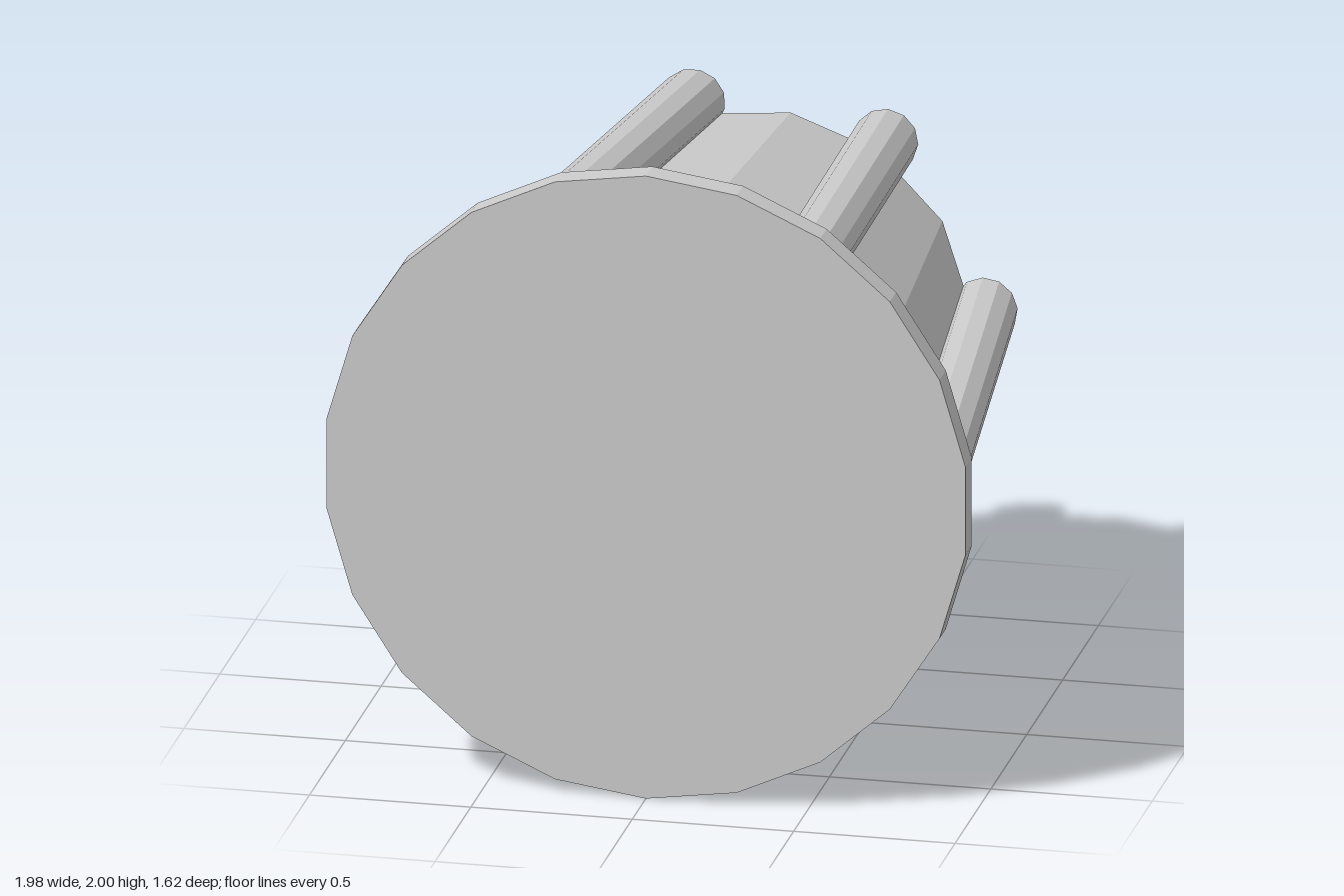
import * as THREE from 'three';

const CENTRE_Y = 1;
const RIBS = 7;
const RIB_START = THREE.MathUtils.degToRad(5); // angle of the first rib, from +x
const BACK = -0.81, FRONT = 0.67;

const material = () => new THREE.MeshStandardMaterial({
  color: 0xcccccc, flatShading: true, side: THREE.DoubleSide,
});

// Solid of revolution about z; profile is [radius, z] from back to front
function turned(name, profile, sides, startAngle) {
  const geometry = new THREE.LatheGeometry(
    profile.map(([r, z]) => new THREE.Vector2(r, z)), sides, startAngle + Math.PI / 2);
  geometry.rotateX(Math.PI / 2);
  const mesh = new THREE.Mesh(geometry, material());
  mesh.name = name;
  return mesh;
}

// Round grip rib, leaning inwards to the back with both ends cut square to z
function makeRib(angle) {
  const geometry = new THREE.CylinderGeometry(0.1, 0.1, FRONT - BACK, 12);
  geometry.rotateX(Math.PI / 2);
  geometry.translate(0, 0, (FRONT + BACK) / 2);
  const p = geometry.attributes.position;
  for (let i = 0; i < p.count; i++) {
    const t = (p.getZ(i) - BACK) / (FRONT - BACK);
    p.setX(i, p.getX(i) + THREE.MathUtils.lerp(0.695, 0.868, t));
  }
  geometry.rotateZ(angle);
  geometry.computeVertexNormals();
  const mesh = new THREE.Mesh(geometry, material());
  mesh.name = 'gripRib';
  return mesh;
}

export function createModel() {
  const group = new THREE.Group();
  group.name = 'ribbedKnob';

  // Face disc with a small bevel on its inner edge
  group.add(turned('faceDisc',
    [[0, 0.71], [0.985, 0.71], [1, 0.722], [1, 0.81], [0, 0.81]], 22, -Math.PI / 2));

  // Short shaft joining disc and body
  group.add(turned('shaft', [[0.13, 0.64], [0.13, 0.72]], 14, 0));

  // Tapered body with a stepped, flared collar
  const body = turned('body', [
    [0, BACK], [0.65, BACK], [0.795, 0.52], [0.86, 0.538],
    [0.88, 0.62], [0.925, FRONT], [0, FRONT],
  ], RIBS * 2, RIB_START);

  // Notch in the collar lip between two ribs
  const notch = RIB_START + Math.PI * 2 * 2.5 / RIBS;
  const p = body.geometry.attributes.position;
  for (let i = 0; i < p.count; i++) {
    const r = Math.hypot(p.getX(i), p.getY(i));
    const off = Math.cos(Math.atan2(p.getY(i), p.getX(i)) - notch);
    if (p.getZ(i) > 0.66 && r > 0.5 && off > 0.99) {
      p.setX(i, p.getX(i) * 0.84 / r);
      p.setY(i, p.getY(i) * 0.84 / r);
    }
  }
  group.add(body);

  // Ring of grip ribs
  const ribs = new THREE.Group();
  ribs.name = 'gripRibs';
  for (let i = 0; i < RIBS; i++) ribs.add(makeRib(RIB_START + i * Math.PI * 2 / RIBS));
  group.add(ribs);

  group.children.forEach((part) => { part.position.y = CENTRE_Y; });
  return group;
}
